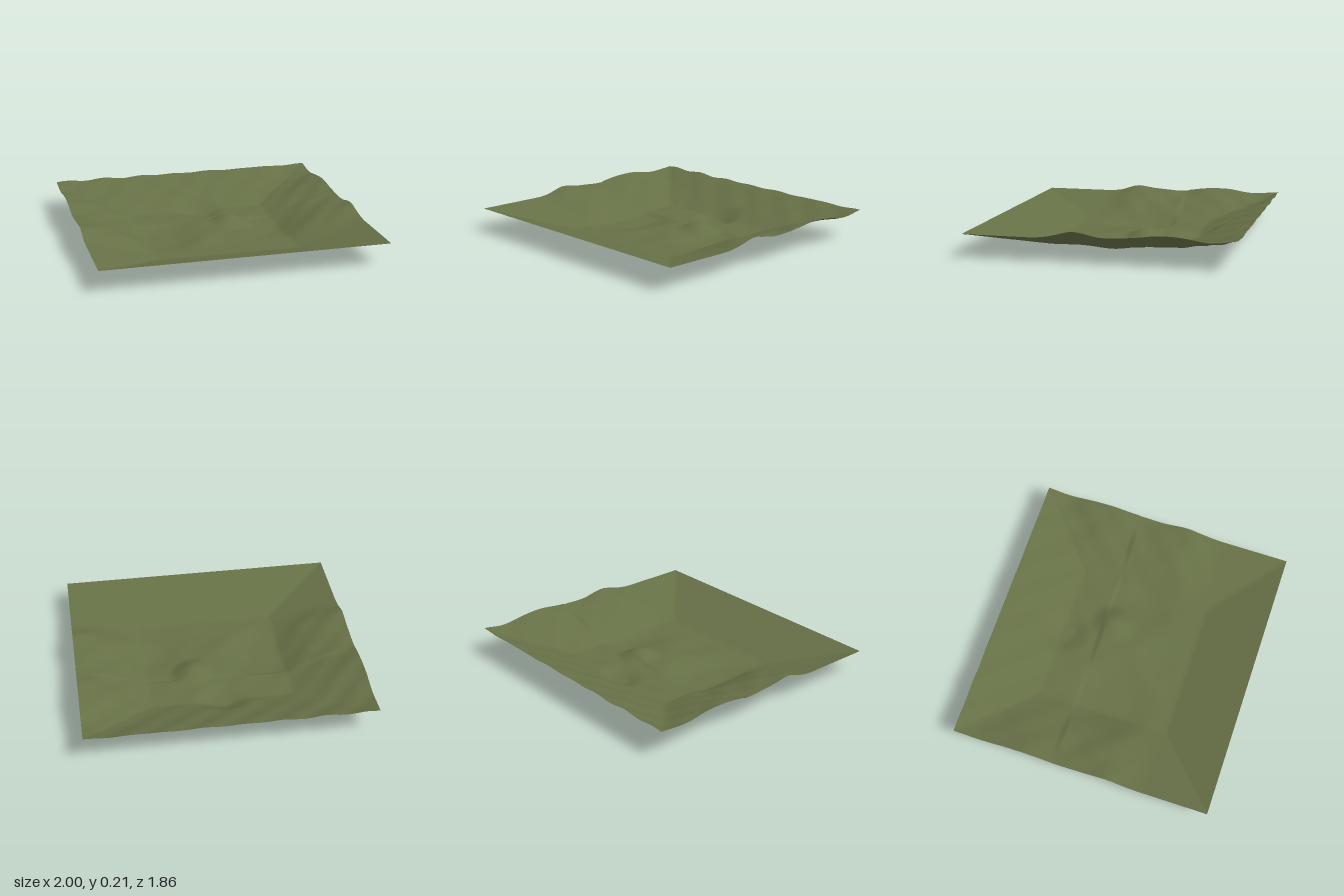
import * as THREE from 'three';

const DEPTH = 0.93;
const smooth = (a, b, v) => THREE.MathUtils.smoothstep(v, a, b);

// Round mounds (positive) and hollows (negative): x, z, radius, height
const features = [
  [0.17, -0.14, 0.17, 0.055],
  [0.01, -0.47, 0.2, -0.045],
  [-0.38, 0.04, 0.34, -0.03],
  [0.01, 0.25, 0.19, -0.018],
  [0.44, 0.05, 0.24, -0.02],
];

function dome(x, z, [cx, cz, r, h]) {
  const d = Math.hypot(x - cx, z - cz) / r;
  return d < 1 ? h * (1 - d * d) ** 2 : 0;
}

function groundHeight(x, z) {
  // Shallow basin: flat floor with four straight ramps up to the rim
  const ramp = Math.max(0, (Math.abs(x) - 0.5) / 0.5, (Math.abs(z) - 0.475) / (DEPTH - 0.475));
  let y = 0.02 + 0.143 * ramp;

  // Rolling ground, fading out before the plain front ramp
  const rough = 1 - smooth(0.17, 0.46, z);
  const broad = 0.014 * Math.cos(8.2 * x) * smooth(-0.2, -0.9, z)
    + 0.014 * Math.cos(9.9 * (z - 0.19)) * smooth(0.4, 1, Math.abs(x));
  const ripple = 0.0035 * Math.sin(23 * (x + z)) + 0.0025 * Math.sin(21 * (x - z) + 1)
    + 0.002 * Math.sin(15 * x + 2) * Math.cos(17 * z);
  const lift = 0.013 + 0.023 * Math.min(1, ramp * 1.2);
  y += rough * (lift + broad + ripple * (0.35 + 0.65 * Math.min(1, ramp * 2)));

  for (const f of features) y += dome(x, z, f);
  return Math.max(0, y);
}

export function createModel() {
  const group = new THREE.Group();
  group.name = 'terrain';

  const olive = new THREE.MeshStandardMaterial({ color: 0x667046, side: THREE.DoubleSide });
  olive.name = 'olive ground';

  // Ground sheet: a fine grid raised by the height rule
  const geometry = new THREE.PlaneGeometry(2, DEPTH * 2, 120, 112).rotateX(-Math.PI / 2);
  const p = geometry.attributes.position;
  for (let i = 0; i < p.count; i++) p.setY(i, groundHeight(p.getX(i), p.getZ(i)));
  geometry.computeVertexNormals();

  const ground = new THREE.Mesh(geometry, olive);
  ground.name = 'ground';
  group.add(ground);
  return group;
}
